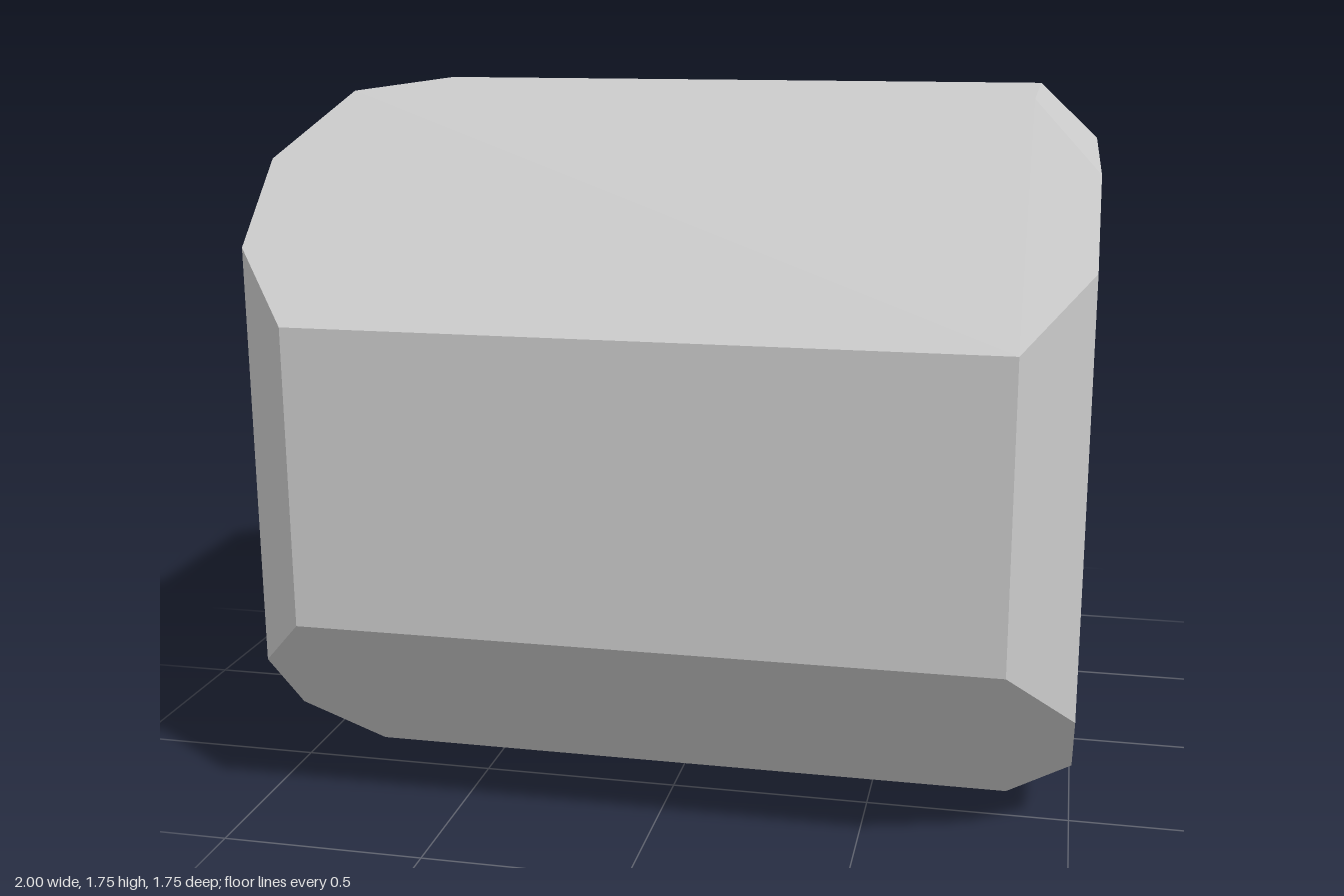
import * as THREE from 'three';

const RADIUS = 0.875;     // half height and half depth of the body
const CHAMFER = 0.158;    // bevel at both ends
const DIAGONAL = 1.24;    // |y| + |z| on the four sloping sides
const CENTRE_Y = RADIUS;

// Eight-sided section at x; the sloping sides stay in the same planes for any half size
function section(x, half) {
  const s = DIAGONAL - half;
  const corners = [[half, -s], [half, s], [s, half], [-s, half],
    [-half, s], [-half, -s], [-s, -half], [s, -half]];
  return corners.map(([y, z]) => [x, y + CENTRE_Y, z]);
}

// Joins the sections in loops and closes both ends
function loft(rings) {
  const positions = [];
  const tri = (a, b, c) => positions.push(...a, ...b, ...c);
  const n = rings[0].length;
  for (let r = 0; r < rings.length - 1; r++) {
    const a = rings[r], b = rings[r + 1];
    for (let i = 0; i < n; i++) {
      const j = (i + 1) % n;
      tri(a[i], a[j], b[j]);
      tri(a[i], b[j], b[i]);
    }
  }
  const first = rings[0], last = rings[rings.length - 1];
  for (let i = 1; i < n - 1; i++) {
    tri(first[0], first[i + 1], first[i]);
    tri(last[0], last[i], last[i + 1]);
  }
  const geometry = new THREE.BufferGeometry();
  geometry.setAttribute('position', new THREE.Float32BufferAttribute(positions, 3));
  geometry.computeVertexNormals();
  return geometry;
}

export function createModel() {
  const group = new THREE.Group();
  group.name = 'chamferedOctagonalBlock';

  // Octagonal prism with chamfered top, bottom, front and back edges at each end
  const body = new THREE.Mesh(
    loft([
      section(-1, RADIUS - CHAMFER),
      section(-1 + CHAMFER, RADIUS),
      section(1 - CHAMFER, RADIUS),
      section(1, RADIUS - CHAMFER),
    ]),
    new THREE.MeshStandardMaterial({ color: 0xcccccc, flatShading: true })
  );
  body.name = 'body';
  group.add(body);
  return group;
}
